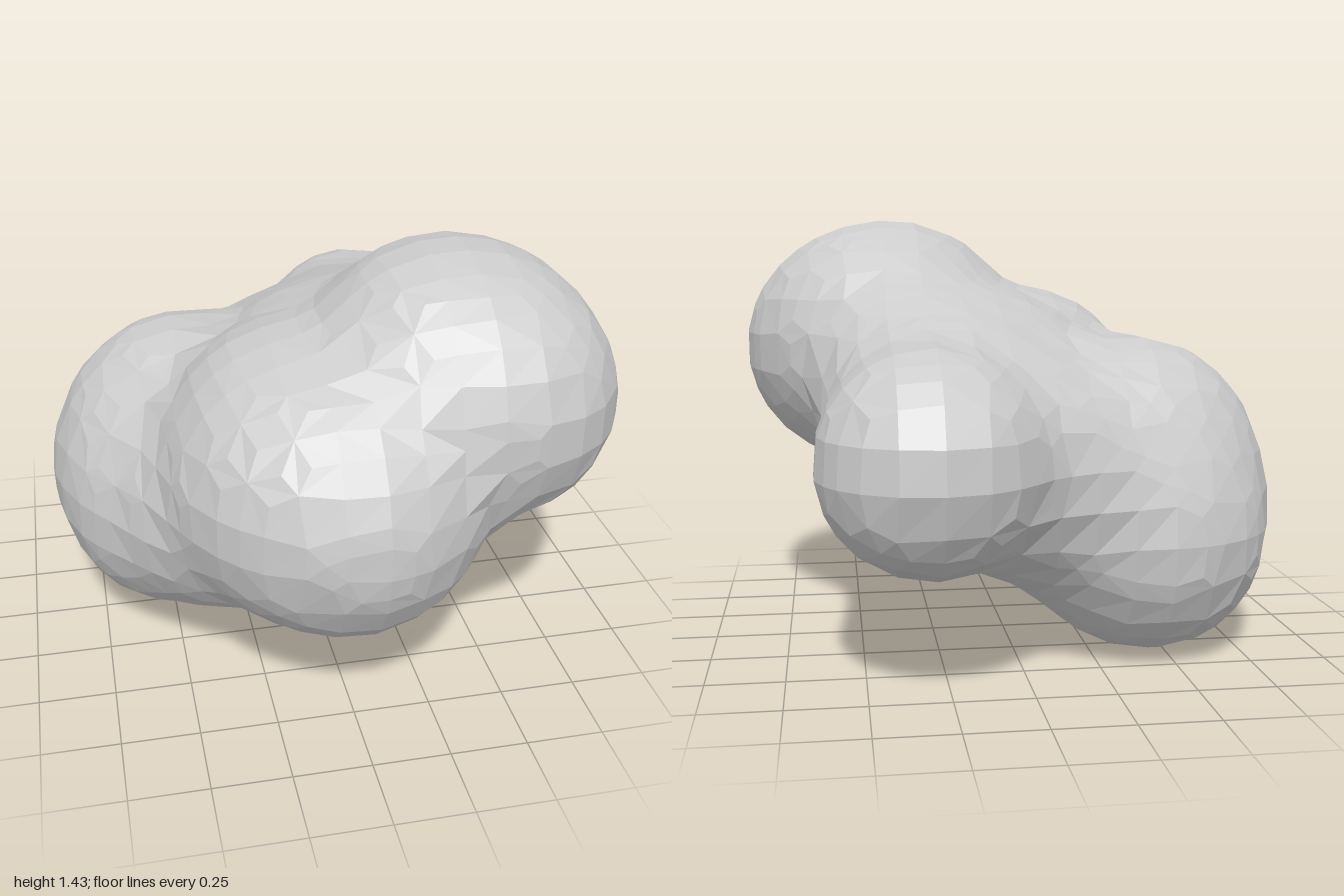
import * as THREE from 'three';

// Lobes of the blob: x, y, z, radius
const LOBES = [
  // Upper front left lobe
  [0.49, 0.98, 0.47, 0.39], [0.31, 1.04, 0.39, 0.385], [0.47, 1.0, 0.28, 0.385], [0.37, 1.03, 0.24, 0.355],
  // Front lobe
  [0.01, 0.71, 0.56, 0.435], [-0.13, 0.74, 0.49, 0.40], [-0.14, 0.83, 0.3, 0.36],
  // Back lobe and its neck
  [0.3, 0.71, -0.65, 0.355], [0.3, 0.72, -0.37, 0.32], [0.2, 0.8, -0.25, 0.33],
  // Low right lobe
  [-0.45, 0.4, -0.27, 0.40], [-0.48, 0.45, 0.02, 0.36],
  [-0.48, 0.56, -0.12, 0.395], [-0.42, 0.67, -0.15, 0.38],
  // Core and the webs between lobes
  [0.05, 0.82, 0, 0.37], [0.33, 0.9, -0.05, 0.31], [0.1, 0.68, 0.1, 0.35],
  [-0.33, 0.55, 0.25, 0.35], [0, 0.66, -0.39, 0.345], [-0.2, 0.56, -0.3, 0.355],
];
const BLEND = 0.052, INSET = 0.008, STEP = 0.123;
const MIN = [-0.885, 0, -1], MAX = [0.885, 1.43, 1];

// Smoothly blended distance to all lobes, negative inside
function field(x, y, z) {
  let sum = 0;
  for (const [cx, cy, cz, r] of LOBES) {
    sum += Math.exp(-(Math.hypot(x - cx, y - cy, z - cz) - r) / BLEND);
  }
  return INSET - BLEND * Math.log(sum);
}

// Slide a point along the gradient onto the surface
function settle(p) {
  const e = 0.01;
  for (let i = 0; i < 2; i++) {
    const f = THREE.MathUtils.clamp(field(...p), -0.03, 0.03);
    const g = [0, 1, 2].map((a) => {
      const q = [...p], s = [...p];
      q[a] += e;
      s[a] -= e;
      return (field(...q) - field(...s)) / (2 * e);
    });
    const len2 = Math.max(0.8, g[0] ** 2 + g[1] ** 2 + g[2] ** 2);
    for (let a = 0; a < 3; a++) p[a] -= (f * g[a]) / len2;
  }
  return p;
}

// Coarse grid skin: one vertex per crossed cell, one quad per crossed edge
function skinGeometry() {
  const start = MIN.map((m) => m - 2 * STEP);
  const n = MIN.map((m, a) => Math.ceil((MAX[a] - m) / STEP) + 5);
  const id = (c) => (c[2] * n[1] + c[1]) * n[0] + c[0];
  const at = (c) => c.map((v, a) => start[a] + v * STEP);
  const values = [], cells = [];
  for (let k = 0; k < n[2]; k++) for (let j = 0; j < n[1]; j++) for (let i = 0; i < n[0]; i++) {
    cells.push([i, j, k]);
    values.push(field(...at([i, j, k])));
  }
  const shifted = (c, a, d) => c.map((v, b) => (b === a ? v + d : v));
  const positions = [], index = [], vertexOf = new Map();

  for (const c of cells) {
    if (c.some((v, a) => v >= n[a] - 1)) continue;
    const sum = [0, 0, 0];
    let count = 0;
    for (let a = 0; a < 3; a++) for (let m = 0; m < 4; m++) {
      let p = shifted(c, (a + 1) % 3, m & 1);
      p = shifted(p, (a + 2) % 3, m >> 1);
      const q = shifted(p, a, 1);
      const fp = values[id(p)], fq = values[id(q)];
      if ((fp < 0) === (fq < 0)) continue;
      const w = at(p);
      w[a] += (STEP * fp) / (fp - fq);
      w.forEach((v, b) => { sum[b] += v; });
      count++;
    }
    if (!count) continue;
    vertexOf.set(id(c), positions.length / 3);
    positions.push(...settle(sum.map((v) => v / count)));
  }

  for (const c of cells) {
    if (c.some((v, a) => v < 1 || v >= n[a] - 1)) continue;
    for (let a = 0; a < 3; a++) {
      const inside = values[id(c)] < 0;
      if (inside === values[id(shifted(c, a, 1))] < 0) continue;
      const u = shifted(c, (a + 1) % 3, -1), v = shifted(c, (a + 2) % 3, -1);
      const quad = [c, u, shifted(u, (a + 2) % 3, -1), v].map((q) => vertexOf.get(id(q)));
      if (!inside) quad.reverse();
      index.push(quad[0], quad[1], quad[2], quad[0], quad[2], quad[3]);
    }
  }

  const geometry = new THREE.BufferGeometry();
  geometry.setAttribute('position', new THREE.Float32BufferAttribute(positions, 3));
  geometry.setIndex(index);
  geometry.computeVertexNormals();
  // Stand on the ground, centred
  geometry.computeBoundingBox();
  const box = geometry.boundingBox;
  const middle = box.getCenter(new THREE.Vector3());
  geometry.translate(-middle.x, -box.min.y, -middle.z);
  return geometry;
}

export function createModel() {
  const group = new THREE.Group();
  group.name = 'lumpyBlob';
  const material = new THREE.MeshStandardMaterial({ color: 0xcccccc, flatShading: true });
  const skin = new THREE.Mesh(skinGeometry(), material);
  skin.name = 'blobSkin';
  group.add(skin);
  return group;
}
